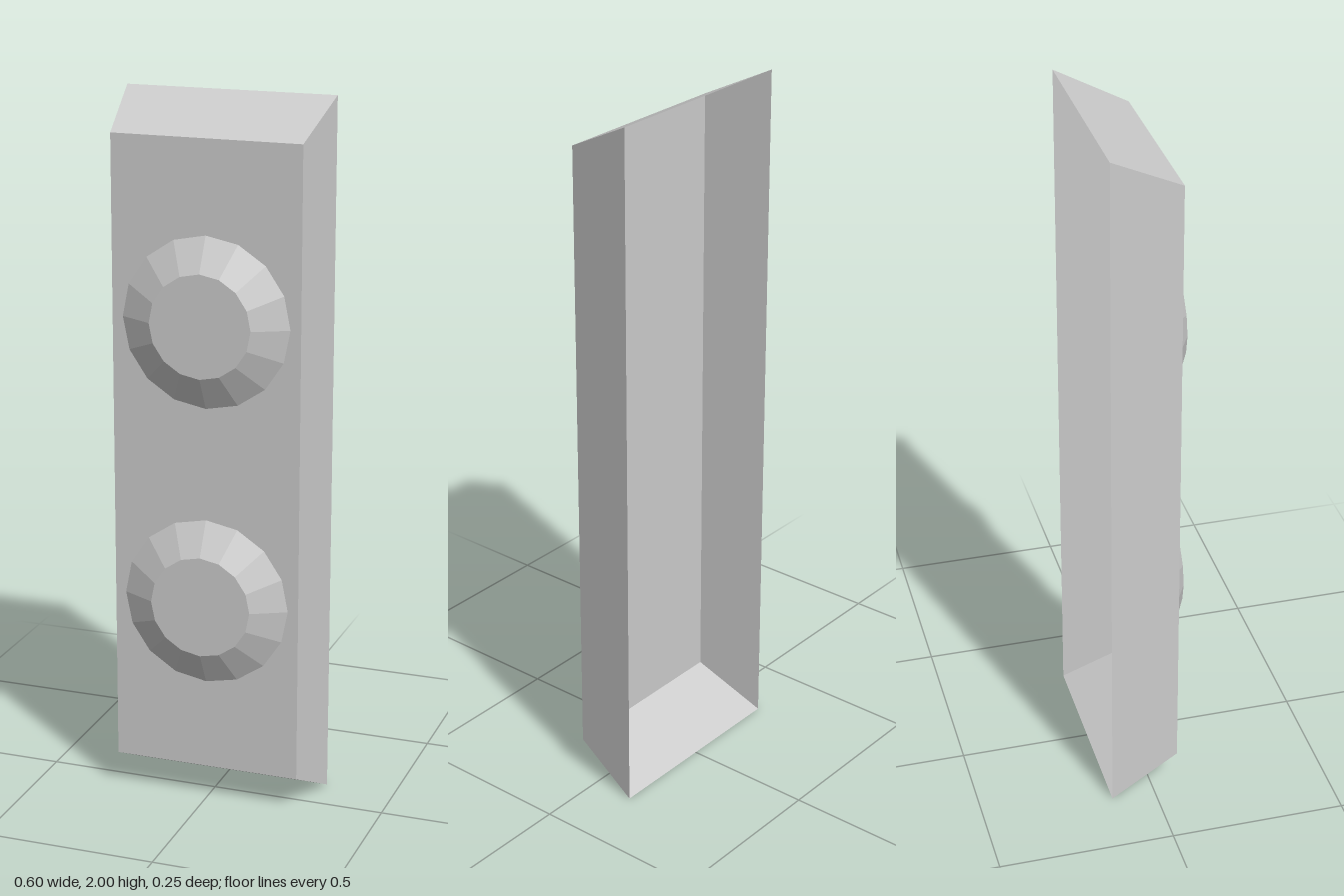
import * as THREE from 'three';

export function createModel() {
  const model = new THREE.Group();
  model.name = 'panelWithStuds';
  const material = new THREE.MeshStandardMaterial({
    color: 0xcccccc, flatShading: true, side: THREE.DoubleSide,
  });

  // Hollow tapered housing: a box narrowed toward the front, with its back face left off
  const shell = new THREE.BoxGeometry(0.6, 2, 0.2);
  const p = shell.attributes.position;
  for (let i = 0; i < p.count; i++) {
    if (p.getZ(i) > 0) p.setXY(i, p.getX(i) * 0.9, p.getY(i) * 0.9);
  }
  shell.setIndex(Array.from(shell.index.array).slice(0, 30));
  shell.clearGroups();
  shell.computeVertexNormals();
  const housing = new THREE.Mesh(shell, material);
  housing.name = 'housing';
  housing.position.set(0, 1, -0.025);
  model.add(housing);

  // Two faceted, bevelled round studs on the front plate
  const profile = [[0.24, 0], [0.145, 0.05], [0, 0.05]].map(([r, h]) => new THREE.Vector2(r, h));
  const studGeometry = new THREE.LatheGeometry(profile, 16).rotateX(Math.PI / 2);
  for (const [name, y] of [['lowerStud', 0.6], ['upperStud', 1.4]]) {
    const stud = new THREE.Mesh(studGeometry, material);
    stud.name = name;
    stud.position.set(0, y, 0.075);
    model.add(stud);
  }
  return model;
}
